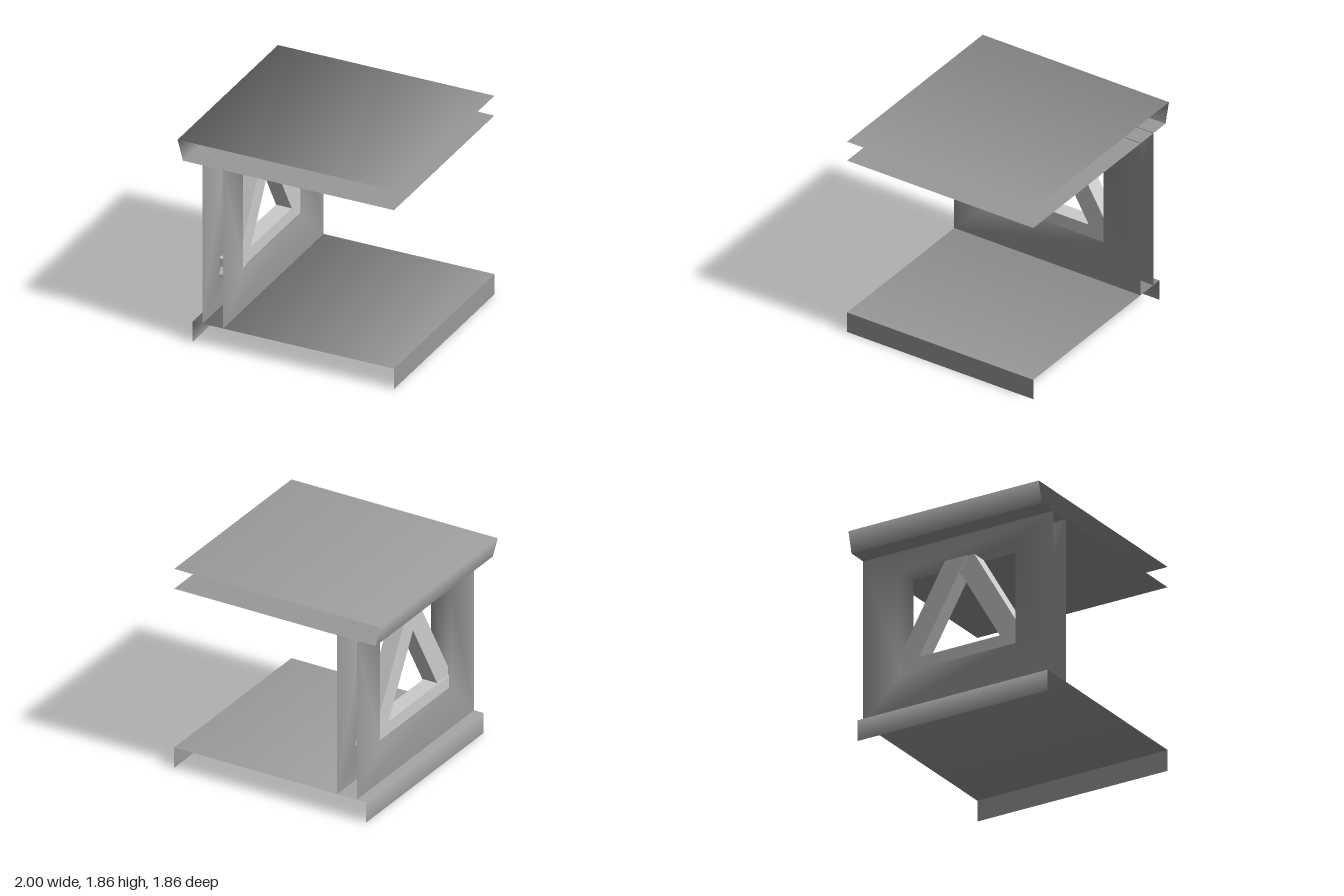
import * as THREE from 'three';

const HALF_Z = 0.93;
const shellMaterial = new THREE.MeshStandardMaterial({ color: 0x999999, side: THREE.DoubleSide });
const barMaterial = new THREE.MeshStandardMaterial({ color: 0xcccccc });

function add(parent, name, geometry, material = shellMaterial) {
  const mesh = new THREE.Mesh(geometry, material);
  mesh.name = name;
  parent.add(mesh);
  return mesh;
}

// Indexed surface from points and four-cornered faces
function quadGeometry(points, quads) {
  const geometry = new THREE.BufferGeometry().setFromPoints(points);
  geometry.setIndex(quads.flatMap(([a, b, c, d]) => [a, b, c, a, c, d]));
  return geometry;
}

// Thin sheet: an open x-y profile drawn along z, smooth across its bends
function sheet(profile) {
  const points = [], normals = [], quads = [];
  const sides = profile.slice(1).map(([x, y], i) =>
    new THREE.Vector3(profile[i][1] - y, x - profile[i][0], 0).normalize());
  profile.forEach(([x, y], i) => {
    const n = new THREE.Vector3();
    if (i > 0) n.add(sides[i - 1]);
    if (i < sides.length) n.add(sides[i]);
    n.normalize();
    for (const z of [HALF_Z, -HALF_Z]) {
      points.push(new THREE.Vector3(x, y, z));
      normals.push(n.x, n.y, n.z);
    }
    if (i > 0) quads.push([2 * i - 2, 2 * i, 2 * i + 1, 2 * i - 1]);
  });
  const geometry = quadGeometry(points, quads);
  geometry.setAttribute('normal', new THREE.Float32BufferAttribute(normals, 3));
  return geometry;
}

// Two wall skins joined by the lining of a square window, open at the outer edges
function windowWall(xOuter, xInner) {
  const panel = { z: HALF_Z, y0: 0.19, y1: 1.68 };
  const hole = { z: 0.56, y0: 0.56, y1: 1.49 };
  const rings = [[xOuter, panel], [xOuter, hole], [xInner, hole], [xInner, panel]];
  const points = [], quads = [];
  rings.forEach(([x, { z, y0, y1 }], r) => {
    for (const [pz, py] of [[z, y0], [-z, y0], [-z, y1], [z, y1]])
      points.push(new THREE.Vector3(x, py, pz));
    for (let i = 0; i < 4 && r > 0; i++) {
      const j = (i + 1) % 4, b = 4 * r, a = b - 4;
      quads.push([b + i, b + j, a + j, a + i]);
    }
  });
  const geometry = quadGeometry(points, quads);
  geometry.computeVertexNormals();
  return geometry;
}

export function createModel() {
  const model = new THREE.Group();
  model.name = 'windowFrameModule';

  // Floor with a downturned lip on both sides
  const floor = new THREE.Group();
  floor.name = 'floor';
  add(floor, 'floorDeck', sheet([[-0.86, 0], [-0.86, 0.19], [1, 0.19]]));
  add(floor, 'floorLip', sheet([[1, 0.19], [1, 0]]));
  model.add(floor);

  // Hollow roof with one slanted edge
  const roof = new THREE.Group();
  roof.name = 'roof';
  add(roof, 'roofTop', sheet([[-0.95, 1.675], [-1, 1.86], [1, 1.86]]));
  add(roof, 'ceiling', sheet([[1, 1.675], [-0.95, 1.675]]));
  model.add(roof);

  // Wall with window
  add(model, 'windowWall', windowWall(-0.77, -0.58));

  // Triangle of three equal bars, slightly offset where they cross
  const brace = new THREE.Group();
  brace.name = 'triangleBrace';
  brace.position.set(0, 0.905, -0.003);
  [-0.68, -0.679, -0.669].forEach((x, k) => {
    const geometry = new THREE.BoxGeometry(0.145, 0.187, 1.31).translate(x, -0.321, 0);
    add(brace, 'braceBar' + (k + 1), geometry, barMaterial).rotation.x = k * Math.PI * 2 / 3;
  });
  model.add(brace);

  return model;
}
